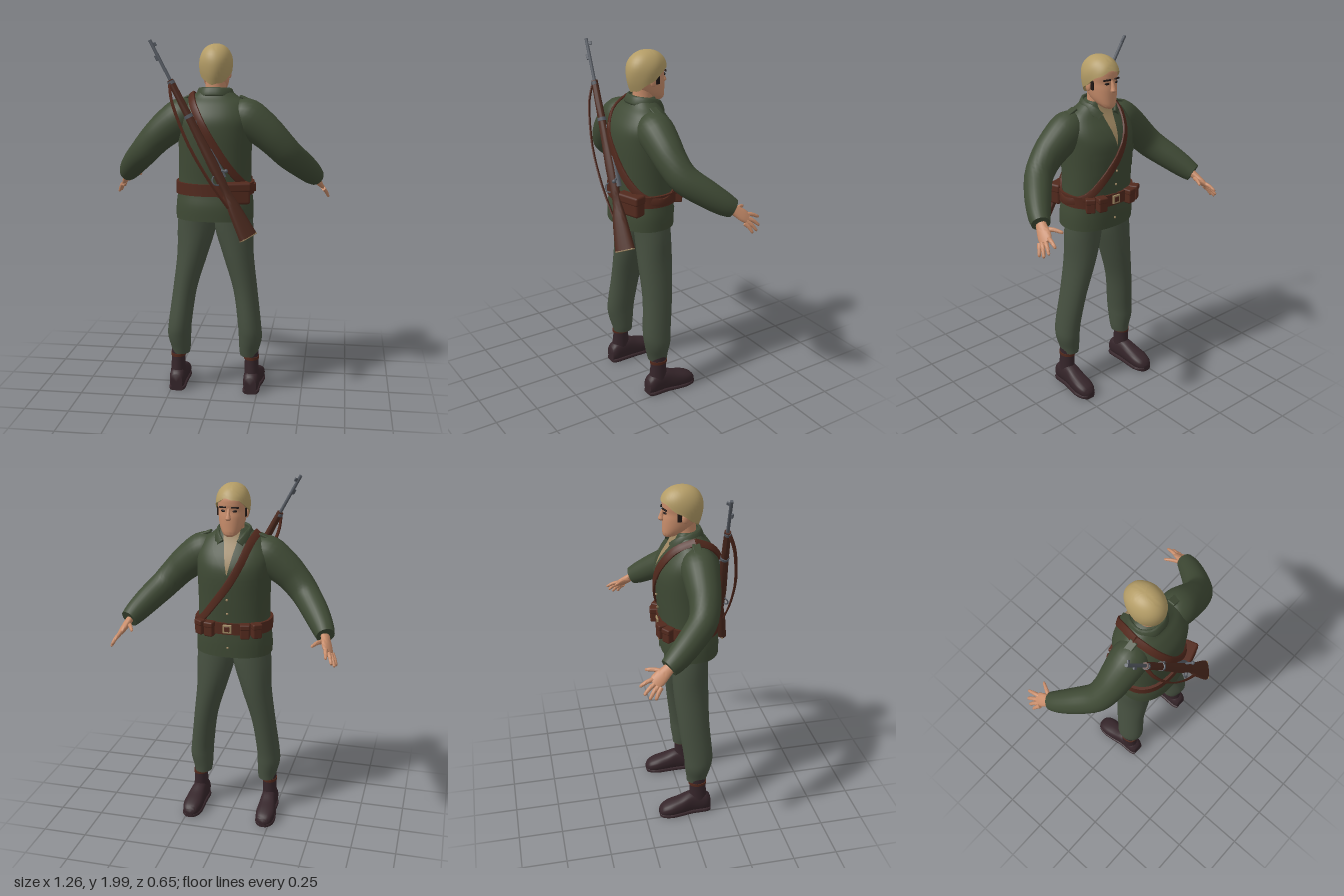
import * as THREE from 'three';
import { toCreasedNormals } from 'three/addons/utils/BufferGeometryUtils.js';
import { RoundedBoxGeometry } from 'three/addons/geometries/RoundedBoxGeometry.js';

const V = (x, y, z) => new THREE.Vector3(x, y, z);
const UP = V(0, 1, 0), X = V(1, 0, 0);
const mat = (name, color) => Object.assign(new THREE.MeshStandardMaterial({ color }), { name });

// Surface from a rule f(row, column) -> Vector3
function grid(rows, cols, f) {
  const pos = [], idx = [];
  for (let i = 0; i <= rows; i++) for (let j = 0; j <= cols; j++) pos.push(...f(i, j).toArray());
  for (let i = 0; i < rows; i++) for (let j = 0; j < cols; j++) {
    const a = i * (cols + 1) + j, d = a + cols + 1;
    idx.push(a, a + 1, d, a + 1, d + 1, d);
  }
  const g = new THREE.BufferGeometry();
  g.setAttribute('position', new THREE.Float32BufferAttribute(pos, 3));
  g.setIndex(idx);
  return toCreasedNormals(g, 0.9);
}

// Catmull-Rom subdivision of section rows [x, y, z, halfWidth, halfDepth]
function smooth(rows, k = 4) {
  const out = [], at = i => rows[Math.min(Math.max(i, 0), rows.length - 1)];
  for (let i = 0; i < rows.length - 1; i++) for (let s = 0; s < k; s++) {
    const t = s / k, p = [at(i - 1), at(i), at(i + 1), at(i + 2)];
    out.push(p[1].map((b, c) => {
      const a = p[0][c], d = p[2][c], e = p[3][c];
      return b + 0.5 * t * (d - a + t * (2 * a - 5 * b + 4 * d - e + t * (3 * (b - d) + e - a)));
    }));
  }
  return [...out, rows.at(-1)];
}

// Capped sweep of (super)elliptic sections; ref gives the direction of halfWidth
function sweep(rows, { ref = X, dir = null, p = 2, n = 20 } = {}) {
  const c = rows.map(r => V(r[0], r[1], r[2])), last = rows.length - 1;
  const frames = c.map((q, i) => {
    const t = (dir ? dir.clone() : c[Math.min(i + 1, last)].clone().sub(c[Math.max(i - 1, 0)])).normalize();
    const r = typeof ref === 'function' ? ref(q) : ref;
    const u = r.clone().addScaledVector(t, -r.dot(t)).normalize();
    return [u, t.clone().cross(u)];
  });
  const sp = w => Math.sign(w) * Math.abs(w) ** (2 / p);
  return grid(last + 2, n, (i, j) => {
    const k = Math.min(Math.max(i - 1, 0), last), w = (j % n) / n * Math.PI * 2;
    if (i === 0 || i === last + 2) return c[k].clone();
    return c[k].clone().addScaledVector(frames[k][0], rows[k][3] * sp(Math.cos(w)))
      .addScaledVector(frames[k][1], rows[k][4] * sp(Math.sin(w)));
  });
}

export function createModel() {
  const model = new THREE.Group();
  model.name = 'soldier';
  const jacket = mat('jacketGreen', 0x3f4a35), trousers = mat('trouserGreen', 0x465040),
    boots = mat('bootBrown', 0x35252a), leather = mat('leather', 0x52291d), wood = mat('rifleWood', 0x4c2a1f),
    steel = mat('steel', 0x565b63), skin = mat('skin', 0xc88d6b), hair = mat('blondHair', 0xb39c66),
    khaki = mat('khaki', 0x9c8560), dark = mat('dark', 0x1f1614);
  const add = (name, geo, m, pos = [0, 0, 0], rot = [0, 0, 0], parent = model) => {
    const mesh = new THREE.Mesh(geo, m);
    mesh.name = name;
    mesh.position.set(...pos);
    mesh.rotation.set(...rot);
    parent.add(mesh);
    return mesh;
  };
  const box = (w, h, d, r = 0.008) => new RoundedBoxGeometry(w, h, d, 2, r);

  // Jacket body
  const P = 2.3;
  const torso = smooth([
    [0, 1.02, 0.055, 0.215, 0.16], [0, 1.1, 0.053, 0.214, 0.161], [0, 1.2, 0.046, 0.203, 0.154],
    [0, 1.35, 0.045, 0.2, 0.165], [0, 1.5, 0.045, 0.205, 0.171], [0, 1.58, 0.053, 0.207, 0.152],
    [0, 1.65, 0.057, 0.175, 0.108], [0, 1.69, 0.05, 0.125, 0.08], [0, 1.725, 0.045, 0.08, 0.065]], 5);
  add('jacketBody', sweep(torso, { dir: UP, p: P, n: 36 }), jacket);

  // Point on the jacket surface: side -1 is the chest, +1 the back
  const onTorso = (x, y, side, off) => {
    const k = Math.max(1, torso.findIndex(r => r[1] >= y)), a = torso[k - 1], b = torso[k];
    const t = (y - a[1]) / (b[1] - a[1]), m = a.map((q, i) => q + (b[i] - q) * t);
    const f = Math.max(0, 1 - Math.abs(x / m[3]) ** P) ** (1 / P);
    return V(x, y, m[2] + side * (m[4] * f + off));
  };
  // Chest plate following the jacket between x edges given by functions of height
  const patch = (name, m, y0, y1, xa, xb, off) => add(name, grid(10, 6, (i, j) => {
    const t = i / 10;
    return onTorso(THREE.MathUtils.lerp(xb(t), xa(t), j / 6), y0 + (y1 - y0) * t, -1, off);
  }), m);
  patch('shirtFront', khaki, 1.5, 1.715, t => -0.003 - 0.045 * t, t => 0.003 + 0.045 * t, 0.005);
  patch('placket', jacket, 1.03, 1.5, () => -0.014, () => 0.014, 0.006);
  for (const y of [1.08, 1.28, 1.36, 1.44])
    add('button', new THREE.SphereGeometry(0.007, 8, 6), khaki, onTorso(0, y, -1, 0.006).toArray());

  // Belt with buckle and pouches
  add('belt', sweep([1.16, 1.225].map(y => [0, y, 0.047, 0.217, 0.168]), { dir: UP, p: P, n: 36 }), leather);
  add('buckle', box(0.05, 0.05, 0.012, 0.004), khaki, [0, 1.193, -0.123]);
  add('buckleCentre', box(0.03, 0.03, 0.008, 0.003), leather, [0, 1.193, -0.127]);
  add('backPouch', box(0.145, 0.115, 0.07, 0.015), leather, [0.135, 1.18, 0.195], [0, 0.3, 0]);
  add('backPouchFlap', box(0.15, 0.05, 0.076, 0.012), leather, [0.135, 1.216, 0.196], [0, 0.3, 0]);

  // Collar, and the sling strap across the body
  const outward = p => p.clone().sub(V(0, Math.min(p.y, 1.55), 0.05));
  const around = p => V(p.x, 0.03, p.z - 0.045);
  const collar = [[0.055, 1.655, -0.055], [0.082, 1.69, -0.015], [0.09, 1.71, 0.055], [0.05, 1.716, 0.105]];
  const mirrored = collar.map(([x, y, z]) => [-x, y, z]).reverse();
  add('collar', sweep(smooth([...collar, [0, 1.718, 0.115], ...mirrored].map(q => [...q, 0.009, 0.026])),
    { ref: around, n: 12, p: 3 }), jacket);
  const S = (x, y, side) => onTorso(x, y, side, 0.01).toArray();
  const strap = [[-0.13, 1.702, 0.06], S(-0.105, 1.655, -1), S(-0.07, 1.56, -1), S(-0.01, 1.45, -1), S(0.07, 1.34, -1),
    S(0.14, 1.25, -1), S(0.185, 1.21, -1), [0.222, 1.19, 0.05], S(0.175, 1.22, 1), S(0.1, 1.31, 1), S(0.02, 1.43, 1),
    S(-0.05, 1.55, 1), S(-0.105, 1.65, 1), [-0.13, 1.702, 0.06]];
  add('bodyStrap', sweep(smooth(strap.map(q => [...q, 0.007, 0.022])), { ref: outward, n: 12, p: 4 }), leather);

  // Paired parts
  for (const s of [-1, 1]) {
    const side = s > 0 ? 'left' : 'right';
    const flip = rows => smooth(rows.map(([x, ...r]) => [x * s, ...r]));
    const part = (name, rows, m, opt) => add(side + name, sweep(flip(rows), opt), m);

    part('Sleeve', [[0.13, 1.585, 0.068, 0.09, 0.085], [0.18, 1.575, 0.07, 0.106, 0.1], [0.27, 1.51, 0.07, 0.097, 0.092],
      [0.34, 1.445, 0.064, 0.087, 0.082], [0.405, 1.375, 0.035, 0.081, 0.076], [0.475, 1.305, -0.05, 0.074, 0.07],
      [0.525, 1.25, -0.125, 0.064, 0.06], [0.548, 1.222, -0.17, 0.052, 0.05]], jacket, { ref: UP, n: 24 });
    add(side + 'Epaulette', box(0.075, 0.014, 0.045, 0.005), jacket, [s * 0.17, 1.678, 0.06], [0, 0, -s * 0.4]);
    const px = (a, b) => [() => s > 0 ? a : -b, () => s > 0 ? b : -a];
    patch(side + 'ChestPocket', jacket, 1.35, 1.45, ...px(0.06, 0.15), 0.006);
    patch(side + 'PocketFlap', jacket, 1.435, 1.475, ...px(0.055, 0.155), 0.011);
    patch(side + 'SkirtPocket', jacket, 1.04, 1.12, ...px(0.06, 0.16), 0.007);
    patch(side + 'Lapel', jacket, 1.5, 1.66, ...(s > 0
      ? [t => 0.002 + 0.034 * t, t => 0.01 + 0.085 * Math.min(t * 1.3, 1)]
      : [t => -0.01 - 0.085 * Math.min(t * 1.3, 1), t => -0.002 - 0.034 * t]), 0.011);
    for (const [x, z, r] of [[0.1, -0.118, 0.2], [0.157, -0.092, 0.6]]) {
      add(side + 'FrontPouch', box(0.052, 0.08, 0.05), leather, [s * x, 1.187, z], [0, s * -r, 0]);
      add(side + 'FrontPouchFlap', box(0.056, 0.032, 0.056), leather, [s * x, 1.214, z], [0, s * -r, 0]);
    }

    // Hand
    const across = V(-0.6 * s, 0.6, -0.5);
    part('Palm', [[0.54, 1.232, -0.15, 0.027, 0.02], [0.553, 1.205, -0.185, 0.032, 0.02],
      [0.568, 1.176, -0.225, 0.039, 0.017], [0.58, 1.156, -0.25, 0.033, 0.011]], skin, { ref: across });
    const fingers = [[[0.562, 1.177, -0.24], [0.575, 1.15, -0.325]], [[0.576, 1.162, -0.24], [0.604, 1.115, -0.308]],
      [[0.588, 1.148, -0.232], [0.618, 1.094, -0.283]], [[0.595, 1.142, -0.218], [0.624, 1.09, -0.252]],
      [[0.54, 1.198, -0.195], [0.492, 1.195, -0.282]]];
    fingers.forEach(([a, b], i) => {
      const mid = a.map((q, k) => (q + b[k]) / 2 + (k === 1 ? 0.006 : 0));
      const near = b.map((q, k) => q + (a[k] - q) * 0.08);
      part(i < 4 ? 'Finger' : 'Thumb', [[...a, 0.013, 0.012], [...mid, 0.011, 0.01], [...near, 0.008, 0.007],
        [...b, 0.003, 0.003]], skin, { ref: across, n: 10 });
    });

    // Leg and boot
    part('TrouserLeg', [[0.1, 1.07, 0.045, 0.105, 0.1], [0.106, 0.96, 0.04, 0.109, 0.1], [0.131, 0.8, 0.04, 0.087, 0.1],
      [0.173, 0.6, 0.05, 0.068, 0.09], [0.2, 0.4, 0.07, 0.066, 0.085], [0.205, 0.32, 0.069, 0.066, 0.078],
      [0.198, 0.25, 0.065, 0.056, 0.064], [0.197, 0.215, 0.062, 0.05, 0.058]], trousers, { dir: V(0, -1, 0), n: 24 });
    part('BootShaft', [[0.212, 0.275, 0.065, 0.041, 0.05], [0.213, 0.19, 0.066, 0.039, 0.048],
      [0.215, 0.08, 0.07, 0.044, 0.055]], boots, { dir: V(0, -1, 0) });
    part('BootStrap', [[0.213, 0.212, 0.066, 0.043, 0.053], [0.213, 0.196, 0.066, 0.043, 0.053]], leather, { dir: V(0, -1, 0) });
    const shoe = [[0.214, 0.052, 0.14, 0.034, 0.044], [0.214, 0.064, 0.11, 0.045, 0.058], [0.215, 0.069, 0.03, 0.045, 0.065],
      [0.22, 0.056, -0.04, 0.052, 0.052], [0.222, 0.046, -0.1, 0.055, 0.042], [0.223, 0.036, -0.145, 0.043, 0.031],
      [0.223, 0.026, -0.165, 0.022, 0.018]];
    part('Shoe', shoe, boots, { dir: V(0, 0, -1), p: 2.6 });
    part('Sole', shoe.map(([x, , z, a]) => [x, 0.012, z, a + 0.003, 0.012]), boots, { dir: V(0, 0, -1), p: 4 });

    // Ear, eye and brow
    add(side + 'Ear', new THREE.SphereGeometry(0.022, 12, 8).scale(0.4, 1.2, 0.8), skin, [s * 0.077, 1.812, 0.018]);
    add(side + 'Eye', new THREE.SphereGeometry(0.013, 10, 8).scale(1, 0.5, 0.4), dark, [s * 0.032, 1.836, -0.081], [0, s * -0.4, 0]);
    add(side + 'Brow', box(0.042, 0.009, 0.009, 0.003), dark, [s * 0.034, 1.856, -0.084], [0, s * -0.38, s * -0.06]);
    add(side + 'Sideburn', box(0.008, 0.05, 0.022, 0.003), dark, [s * 0.076, 1.822, -0.012]);
  }

  // Head and neck
  add('neck', sweep(smooth([[0, 1.64, 0.05, 0.065, 0.06], [0, 1.72, 0.035, 0.056, 0.056], [0, 1.8, 0.03, 0.058, 0.062]]),
    { dir: UP }), skin);
  add('face', sweep(smooth([[0, 1.697, -0.052, 0.02, 0.028], [0, 1.712, -0.043, 0.042, 0.045], [0, 1.75, -0.012, 0.063, 0.077],
    [0, 1.8, 0.008, 0.074, 0.096], [0, 1.835, 0.014, 0.077, 0.097], [0, 1.87, 0.014, 0.08, 0.103],
    [0, 1.91, 0.015, 0.076, 0.098], [0, 1.945, 0.015, 0.05, 0.065]]), { dir: UP, p: 2.2, n: 28 }), skin);
  add('nose', sweep(smooth([[0, 1.85, -0.083, 0.007, 0.009], [0, 1.815, -0.092, 0.01, 0.014],
    [0, 1.797, -0.095, 0.015, 0.017], [0, 1.788, -0.092, 0.011, 0.01]]), { dir: V(0, -1, 0), n: 12 }), skin);
  add('mouth', box(0.036, 0.006, 0.008, 0.002), leather, [0, 1.762, -0.083]);
  add('hair', grid(15, 40, (i, j) => {
    const w = -(j % 40) / 40 * Math.PI * 2, c = -Math.cos(w), t = Math.min(i / 14, 1);
    const low = 1.825 + (c > 0 ? 0.077 : 0.07) * c + 0.004 * Math.sin(7 * w);
    const y = 1.97 - (1.97 - low) * t * t;
    let r = y > 1.865 ? Math.sqrt(Math.max(0, 1 - ((y - 1.865) / 0.105) ** 2)) ** 0.9 : 1 - (1.865 - y) ** 2 * 18;
    if (i === 15) r *= 0.7;
    const tuft = 1 + 0.012 * Math.sin(5 * w + t * 9) * t;
    return V(0.092 * r * tuft * Math.sin(w), y, 0.013 + 0.117 * r * tuft * Math.cos(w));
  }), hair);

  // Slung rifle: local y runs toward the muzzle, local z toward the underside
  const rifle = new THREE.Group();
  rifle.name = 'rifle';
  const muzzle = V(-0.33, 1.99, 0.19), along = muzzle.clone().sub(V(0.222, 0.965, 0.268)).normalize();
  const under = V(-0.64, -0.34, 0.69);
  under.addScaledVector(along, -under.dot(along)).normalize();
  rifle.applyMatrix4(new THREE.Matrix4().makeBasis(along.clone().cross(under), along, under).setPosition(muzzle));
  model.add(rifle);
  const gun = (name, geo, m, pos, rot) => add(name, geo, m, pos, rot, rifle);
  const cyl = (r, h) => new THREE.CylinderGeometry(r, r, h, 14);
  gun('barrel', cyl(0.009, 0.3), steel, [0, -0.15, 0]);
  gun('frontSight', box(0.008, 0.02, 0.022, 0.002), steel, [0, -0.03, -0.014]);
  gun('bayonetLug', box(0.01, 0.03, 0.016, 0.002), steel, [0, -0.1, 0.012]);
  gun('stock', sweep(smooth([[0, -0.235, 0, 0.015, 0.017], [0, -0.5, 0.003, 0.019, 0.022], [0, -0.72, 0.005, 0.023, 0.029],
    [0, -0.84, 0.008, 0.021, 0.025], [0, -0.91, 0.01, 0.018, 0.024], [0, -1, 0.014, 0.022, 0.039],
    [0, -1.165, 0.018, 0.025, 0.056]]), { dir: V(0, -1, 0), p: 2.5 }), wood);
  gun('buttPlate', box(0.042, 0.008, 0.1, 0.003), khaki, [0, -1.167, 0.018]);
  for (const [y, r] of [[-0.25, 0.019], [-0.45, 0.024]]) gun('barrelBand', cyl(r, 0.018), steel, [0, y, 0.002]);
  gun('rearSight', box(0.016, 0.05, 0.014, 0.003), steel, [0, -0.51, -0.022]);
  gun('receiver', cyl(0.017, 0.17), steel, [0, -0.74, -0.017]);
  gun('boltHandle', cyl(0.006, 0.05), steel, [0.03, -0.79, -0.015], [0, 0, 1.2]);
  gun('boltKnob', new THREE.SphereGeometry(0.011, 10, 8), steel, [0.053, -0.798, -0.015]);
  gun('triggerGuard', new THREE.TorusGeometry(0.026, 0.004, 6, 20), steel, [0, -0.82, 0.032], [0, Math.PI / 2, 0]);
  gun('rifleSling', sweep(smooth([[0, -0.25, 0.015, 0.012, 0.004], [0, -0.36, 0.058, 0.012, 0.004],
    [0, -0.58, 0.085, 0.012, 0.004], [0, -0.8, 0.074, 0.012, 0.004], [0, -0.98, 0.045, 0.012, 0.004]]), { p: 4, n: 12 }), leather);
  return model;
}
